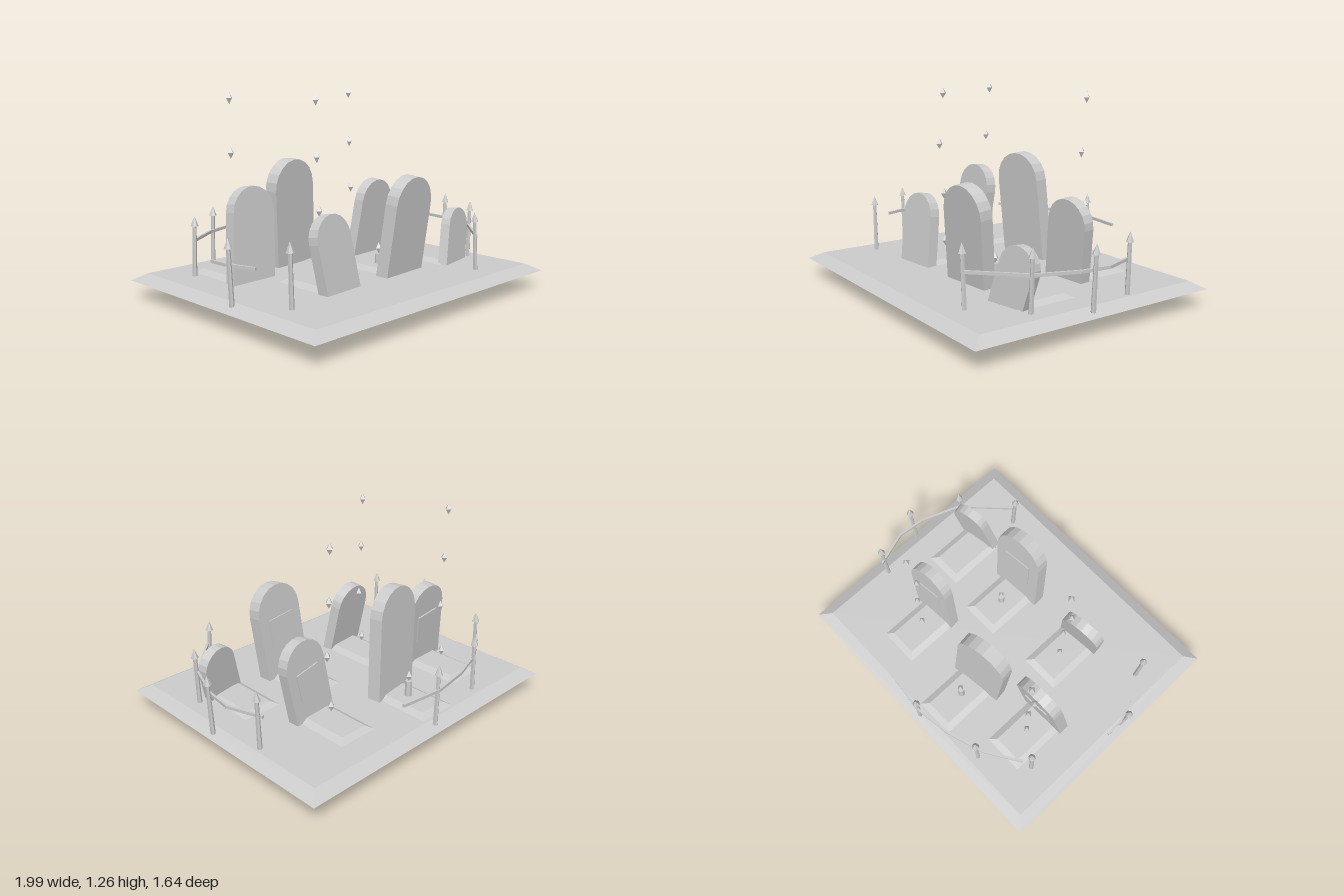
import * as THREE from 'three';

export function createModel() {
  const root = new THREE.Group();
  const stoneGrey = new THREE.MeshStandardMaterial({ color: 0xcccccc });
  stoneGrey.name = 'stoneGrey';

  function add(parent, name, geometry, x = 0, y = 0, z = 0) {
    const mesh = new THREE.Mesh(geometry, stoneGrey);
    mesh.name = name;
    mesh.position.set(x, y, z);
    parent.add(mesh);
    return mesh;
  }

  // Box whose top is drawn in to make sloping sides
  function frustum(w, h, d, inset) {
    const g = new THREE.BoxGeometry(w, h, d);
    const p = g.attributes.position;
    for (let i = 0; i < p.count; i++) {
      if (p.getY(i) < 0) continue;
      p.setX(i, p.getX(i) - Math.sign(p.getX(i)) * inset);
      p.setZ(i, p.getZ(i) - Math.sign(p.getZ(i)) * inset);
    }
    g.computeVertexNormals();
    return g;
  }

  const faceted = (g) => {
    const flat = g.toNonIndexed();
    flat.computeVertexNormals();
    return flat;
  };

  // Ground slab
  add(root, 'ground', frustum(1.98, 0.045, 1.64, 0.075), -0.005, 0.14, 0);

  // Round-topped headstones: foot position, size, lean, turn, tilt
  function slab(w, h, t) {
    const r = w / 2, steps = 10;
    const shape = new THREE.Shape();
    shape.moveTo(-r, 0);
    shape.lineTo(r, 0);
    for (let i = 0; i <= steps; i++) {
      const a = (i / steps) * Math.PI;
      shape.lineTo(r * Math.cos(a), h - r + r * Math.sin(a));
    }
    return new THREE.ExtrudeGeometry(shape, { depth: t, bevelEnabled: false }).translate(0, 0, -t / 2);
  }
  const stones = [
    { at: [-0.585, 0.04, -0.165], size: [0.31, 0.68, 0.072], rot: [-0.11, 0.03, -0.1], plaque: true },
    { at: [-0.1, 0.04, -0.345], size: [0.35, 0.8, 0.085], rot: [0.045, 0.13, 0.075] },
    { at: [0.18, 0.04, 0.3], size: [0.345, 0.725, 0.085], rot: [0.105, 0.07, -0.075], plaque: true },
    { at: [-0.345, 0.05, 0.365], size: [0.285, 0.555, 0.068], rot: [-0.16, 0.09, 0.11] },
    { at: [0.607, 0.04, 0.385], size: [0.247, 0.475, 0.062], rot: [-0.08, 0.18, -0.26] },
    { at: [0.417, 0.04, -0.22], size: [0.3, 0.625, 0.07], rot: [0.08, 0.07, -0.15], plaque: true },
  ];
  stones.forEach(({ at, size: [w, h, t], rot, plaque }) => {
    const stone = new THREE.Group();
    stone.name = 'headstone';
    stone.position.set(...at);
    stone.rotation.set(...rot);
    add(stone, 'slab', slab(w, h, t));
    if (plaque) add(stone, 'plaque', new THREE.BoxGeometry(w * 0.58, h * 0.27, 0.009), 0, h * 0.58, -t / 2 - 0.004);
    root.add(stone);
  });

  // Burial mounds behind the stones: centre x, width, back z, front z
  [
    [-0.573, 0.275, -0.57, -0.17],
    [-0.1, 0.27, -0.73, -0.3],
    [0.19, 0.275, -0.065, 0.34],
    [-0.353, 0.275, -0.035, 0.37],
    [0.627, 0.265, 0, 0.39],
    [0.42, 0.27, -0.585, -0.19],
  ].forEach(([x, w, z0, z1]) => {
    add(root, 'mound', frustum(w, 0.026, z1 - z0, 0.045), x, 0.173, (z0 + z1) / 2);
  });

  // Flames: stretched double pyramids
  const flame = new THREE.OctahedronGeometry(1).scale(0.022, 0.035, 0.022);

  // Candles on two mounds
  [[-0.103, -0.49, 0.1], [0.19, 0.14, 0.065]].forEach(([x, z, h]) => {
    add(root, 'candle', faceted(new THREE.CylinderGeometry(0.021, 0.023, h, 7)), x, 0.185 + h / 2, z);
    add(root, 'candleFlame', flame, x, 0.185 + h + 0.034, z);
  });

  // Floating wisps rising in three columns
  const drift = [[0, 0.275, -0.006], [0.015, 0.59, 0.01], [-0.013, 0.905, 0.022], [0, 1.225, 0]];
  [[-0.573, -0.354], [-0.356, 0.153], [0.419, -0.354]].forEach(([x, z]) => {
    drift.forEach(([dx, y, dz]) => add(root, 'wisp', flame, x + dx, y, z + dz));
  });

  // Fence posts with spear tips: tip x, tip z, sideways lean
  const post = faceted(new THREE.CylinderGeometry(0.012, 0.015, 0.33, 6));
  const spear = faceted(new THREE.ConeGeometry(0.024, 0.06, 6));
  [
    [-0.745, -0.49, 0.01], [-0.465, -0.69, 0.01], [-0.025, -0.775, -0.01],
    [-0.965, 0.122, -0.02], [-0.797, 0.425, -0.01],
    [0.89, -0.275, 0.01], [0.975, 0.048, 0.017], [0.835, 0.36, 0.013], [0.545, 0.607, -0.023],
  ].forEach(([x, z, lean]) => {
    const g = new THREE.Group();
    g.name = 'fencePost';
    g.position.set(x - lean, 0.145, z);
    g.rotation.z = -lean / 0.38;
    add(g, 'shaft', post, 0, 0.165, 0);
    add(g, 'spearTip', spear, 0, 0.352, 0);
    root.add(g);
  });

  // Bent rails between the posts: [x, z] along each run
  [
    [[-0.71, -0.535], [-0.505, -0.667], [-0.27, -0.745], [-0.025, -0.783], [0.245, -0.752]],
    [[0.57, 0.607], [0.825, 0.355], [0.922, 0.1], [0.942, -0.08], [0.87, -0.3]],
    [[-0.955, -0.035], [-0.95, 0.08], [-0.897, 0.265]],
  ].forEach((run) => {
    const path = new THREE.CurvePath();
    const pts = run.map(([x, z]) => new THREE.Vector3(x, 0.37, z));
    for (let i = 1; i < pts.length; i++) path.add(new THREE.LineCurve3(pts[i - 1], pts[i]));
    const rail = new THREE.Group();
    rail.name = 'rail';
    path.curves.forEach((c) => {
      const bar = add(rail, 'railBar', new THREE.BoxGeometry(0.014, 0.018, c.getLength() + 0.004));
      bar.position.copy(c.getPoint(0.5));
      bar.lookAt(c.v2);
    });
    root.add(rail);
  });

  return root;
}
